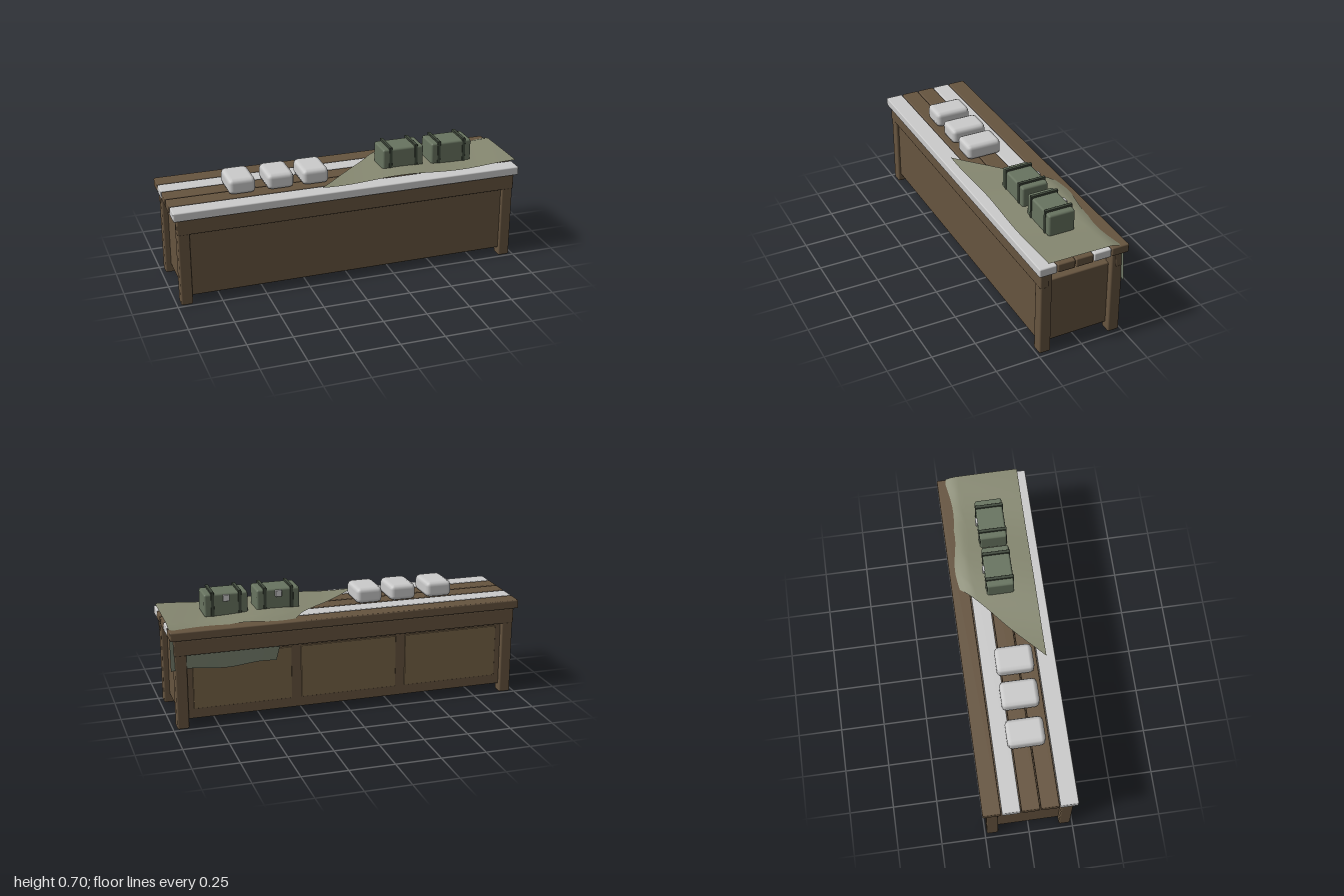
import * as THREE from 'three';
import { RoundedBoxGeometry } from 'three/addons/geometries/RoundedBoxGeometry.js';

const paint = (color, side = THREE.FrontSide) => {
  const m = new THREE.MeshStandardMaterial({ color });
  m.side = side;
  return m;
};
const wood = paint(0x66543f);
const lightWood = paint(0x786448);
const grey = paint(0xcccccc);
const green = paint(0x687460);
const darkGreen = paint(0x3f483b);
const cloth = paint(0x868871, THREE.DoubleSide);
const flapCloth = paint(0x727b69, THREE.DoubleSide);

export function createModel() {
  const model = new THREE.Group();

  // Box with softened edges, given by its minimum and maximum corners
  function block(name, material, min, max, radius = 0.007, parent = model) {
    const [w, h, d] = max.map((v, i) => v - min[i]);
    const mesh = new THREE.Mesh(new RoundedBoxGeometry(w, h, d, 1, radius), material);
    mesh.position.set(min[0] + w / 2, min[1] + h / 2, min[2] + d / 2);
    mesh.name = name;
    parent.add(mesh);
    return mesh;
  }

  // Sheet whose points come from a rule in u and v, both from 0 to 1
  function sheet(name, material, nu, nv, rule) {
    const geo = new THREE.PlaneGeometry(1, 1, nu, nv);
    const p = geo.attributes.position;
    for (let i = 0; i < p.count; i++) p.setXYZ(i, ...rule(p.getX(i) + 0.5, p.getY(i) + 0.5));
    geo.computeVertexNormals();
    const mesh = new THREE.Mesh(geo, material);
    mesh.name = name;
    model.add(mesh);
  }

  // Table top: five planks, front to back
  [grey, wood, wood, grey, wood].forEach((material, i) => {
    const z = 0.209 - i * 0.1045;
    block('plank', material, [-1, 0.51, z - 0.05], [1, 0.56, z + 0.05]);
  });

  // Legs
  for (const x of [-0.945, 0.945]) {
    for (const z of [-0.206, 0.206]) {
      block('leg', wood, [x - 0.033, 0, z - 0.033], [x + 0.033, 0.511, z + 0.033], 0.009);
    }
  }

  // Cabinet body, with a gap below the planks, and the upper rails
  block('cabinetBody', wood, [-0.945, 0.046, -0.215], [0.945, 0.434, 0.222]);
  block('frontRail', wood, [-0.98, 0.42, 0.195], [0.98, 0.508, 0.242]);
  block('backRail', wood, [-0.98, 0.42, -0.242], [0.98, 0.508, -0.195]);

  // Three panels on the back
  for (const x of [-0.605, 0, 0.605]) {
    block('backPanel', lightWood, [x - 0.275, 0.105, -0.222], [x + 0.275, 0.405, -0.2], 0.003);
  }

  // Cushioned grey packs on the left half of the top
  for (const x of [-0.587, -0.37, -0.17]) {
    block('pack', grey, [x - 0.076, 0.56, -0.076], [x + 0.076, 0.651, 0.132], 0.026);
  }

  // Cloth over the right half, cut at a slant and drooping at the back edge
  sheet('clothCover', cloth, 40, 16, (u, v) => {
    const x = THREE.MathUtils.lerp(-0.16 + 0.46 * v, 1, u);
    const wave = Math.sin((x - 0.3) * 14);
    const z = THREE.MathUtils.lerp(0.21, -0.212 - 0.013 * wave, v);
    const droop = THREE.MathUtils.clamp((-0.165 - z) / 0.06, 0, 1) * 0.022;
    const y = 0.577 + 0.008 * Math.sin((x + 0.5) * 9 + z * 3) - droop;
    return [x, y, z];
  });

  // Cloth hanging behind, below the back rail
  sheet('clothFlap', flapCloth, 20, 6, (u, v) => {
    const x = THREE.MathUtils.lerp(1, 0.42 - 0.06 * v, u);
    const bottom = 0.338 + 0.008 * Math.sin(u * 9);
    return [x, THREE.MathUtils.lerp(bottom, 0.555, v), -0.235 + 0.01 * v];
  });

  // Two strapped cases with a catch at the back
  for (const x of [0.36, 0.653]) {
    const box = new THREE.Group();
    box.name = 'strappedCase';
    model.add(box);
    block('caseBody', green, [x - 0.122, 0.563, -0.065], [x + 0.122, 0.694, 0.088], 0.012, box);
    for (const s of [-0.076, 0.076]) {
      block('strap', darkGreen, [x + s - 0.009, 0.566, -0.068], [x + s + 0.009, 0.705, 0.091], 0.002, box);
    }
    block('catch', grey, [x - 0.018, 0.65, -0.076], [x + 0.018, 0.686, -0.06], 0.003, box);
  }

  return model;
}
